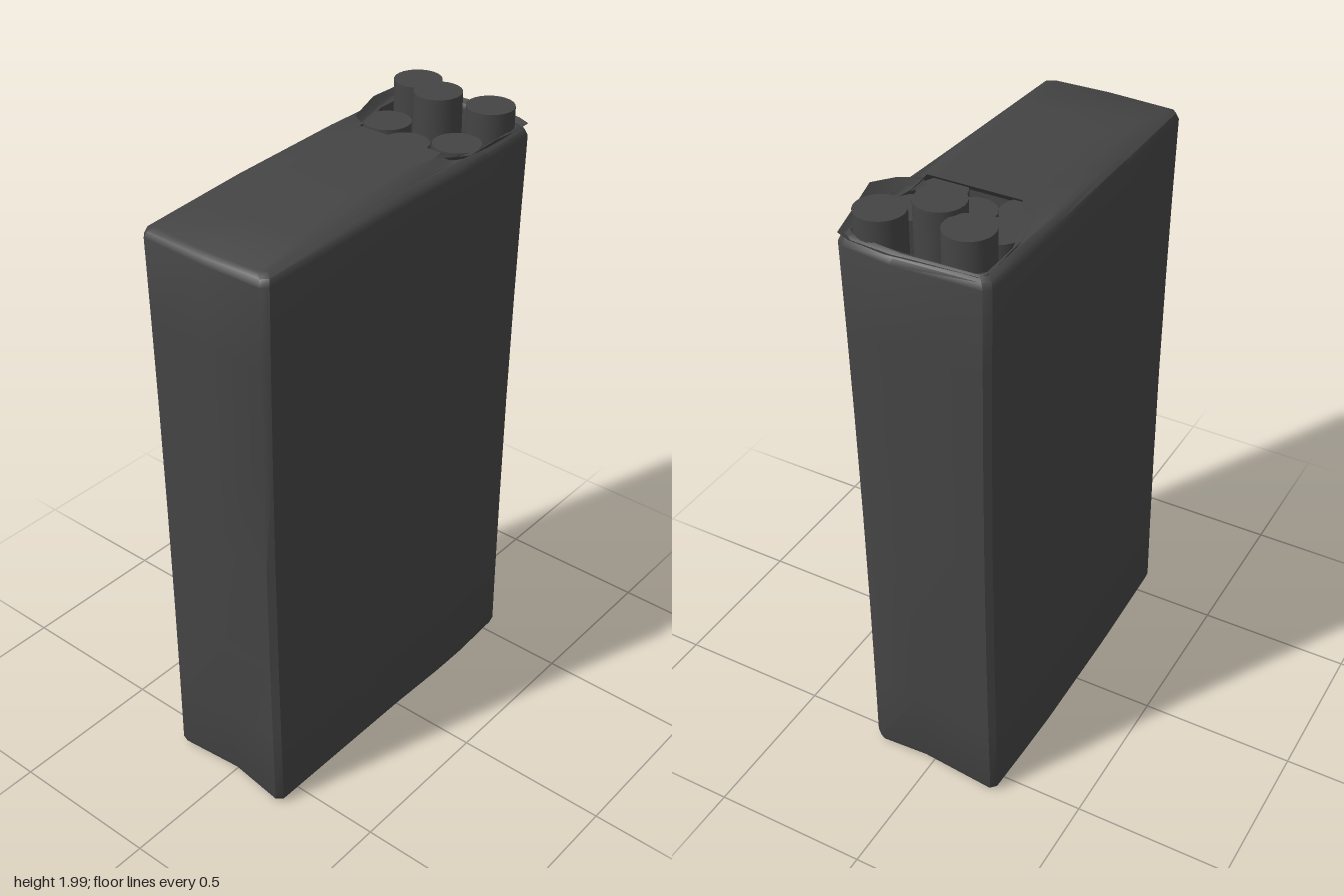
import * as THREE from 'three';
import { toCreasedNormals } from 'three/addons/utils/BufferGeometryUtils.js';

// Matched outline pairs: carton x, z -> torn opening x, z
const OUTLINE = [
  [-0.6, 0, 0.21, 0], [-0.595, 0.2, 0.21, 0.08], [-0.578, 0.22, 0.21, 0.13],
  [0, 0.225, 0.21, 0.16], [0.22, 0.232, 0.26, 0.18], [0.35, 0.232, 0.35, 0.195],
  [0.555, 0.222, 0.525, 0.19], [0.573, 0.2, 0.548, 0.175], [0.595, 0.04, 0.552, 0.04],
  [0.588, -0.23, 0.552, -0.19], [0.57, -0.248, 0.53, -0.21], [0.4, -0.252, 0.4, -0.21],
  [0.22, -0.255, 0.28, -0.175], [-0.2, -0.25, 0.21, -0.135],
  [-0.568, -0.238, 0.21, -0.1], [-0.588, -0.22, 0.21, -0.06],
];

// Skin closed rings of [x, y, z] points, each ring following the last
function skin(rings, closed = true) {
  const n = rings[0].length, index = [];
  for (let k = 0; k < rings.length - 1; k++) {
    for (let i = 0; i < (closed ? n : n - 1); i++) {
      const j = (i + 1) % n, a = k * n + i, b = k * n + j;
      index.push(a, b, b + n, a, b + n, a + n);
    }
  }
  const g = new THREE.BufferGeometry();
  g.setAttribute('position', new THREE.Float32BufferAttribute(rings.flat(2), 3));
  g.setIndex(index);
  return toCreasedNormals(g, 0.7);
}

export function createModel() {
  const group = new THREE.Group();
  const material = new THREE.MeshStandardMaterial({ color: 0x444444, side: THREE.DoubleSide });
  const add = (geometry, name) => {
    const mesh = new THREE.Mesh(geometry, material);
    mesh.name = name;
    group.add(mesh);
    return mesh;
  };

  // Edge height: the carton's top climbs gently and flattens toward the opening
  const edgeY = (x) => 1.905 - 0.03 * Math.pow((0.6 - x) / 1.2, 2);

  // Slightly waisted wall outline at height fraction t, drawn in by inset
  const wall = (t, inset, y) => OUTLINE.map(([x, z]) => {
    const waist = 1 - 0.05 * Math.sin(Math.PI * t) * (1 - Math.abs(x) * 0.5) - 0.03 * (1 - t);
    let px = x > 0.5 ? x - 0.014 * (1 - t) : x;
    if (Math.abs(z) < 0.1 && t < 0.3) px -= Math.sign(x) * 0.03 * (1 - t / 0.3); // pinched ends
    return [px - Math.sign(px) * Math.min(inset, Math.abs(px)), y(px), z * waist - Math.sign(z) * inset];
  });

  // Carton: base, walls, softened edges, top, then down into the opening
  const rings = [];
  rings.push(OUTLINE.map(() => [0, 0.012, 0]));
  rings.push(wall(0, 0.024, () => 0.006));
  rings.push(wall(0, 0.007, () => 0.013));
  rings.push(wall(0, 0, () => 0.035));
  for (const t of [0.15, 0.3, 0.5, 0.7, 0.85]) rings.push(wall(t, 0, (x) => edgeY(x) * t));
  rings.push(wall(1, 0, (x) => edgeY(x) - 0.025));
  rings.push(wall(1, 0.007, (x) => edgeY(x) - 0.006));
  const shoulder = wall(1, 0.024, (x) => edgeY(x) + 0.004);
  rings.push(shoulder);
  for (const t of [0.25, 0.5, 0.75, 1]) {
    rings.push(shoulder.map(([x, y, z], i) => {
      const [, , ix, iz] = OUTLINE[i];
      const px = x + (ix - x) * t;
      const rim = ix < 0.22 ? 1.927 : 1.9;
      const rise = Math.sin(t * Math.PI / 2);
      return [px, y + (rim - y) * rise, z + (iz - z) * t];
    }));
  }
  // Inner lining widens behind the lid, so the sticks run on beneath it
  const lining = (y) => OUTLINE.map(([, , x, z]) => [x < 0.3 ? x - 0.12 : x, y, z * (x < 0.3 ? 1.2 : 1)]);
  rings.push(lining(1.84), lining(1.2), OUTLINE.map(() => [0.36, 1.2, 0]));
  add(skin(rings), 'carton');

  // Torn paper lip curling outward round the opening: base x, z, tip x, y, z
  const LIP = [
    [0.21, 0.16, 0.21, 1.915, 0.175], [0.26, 0.18, 0.255, 1.922, 0.23],
    [0.35, 0.195, 0.35, 1.945, 0.253], [0.45, 0.192, 0.46, 1.925, 0.235],
    [0.525, 0.19, 0.565, 1.912, 0.215], [0.548, 0.175, 0.585, 1.912, 0.17],
    [0.552, 0.04, 0.6, 1.912, 0.05], [0.552, -0.19, 0.588, 1.918, -0.22],
    [0.53, -0.21, 0.57, 1.925, -0.24], [0.4, -0.21, 0.4, 1.93, -0.237],
    [0.28, -0.175, 0.27, 1.92, -0.2],
  ];
  add(skin([
    LIP.map(([x, z]) => [x, 1.895, z]),
    LIP.map(([x, z, tx, ty, tz]) => [x + (tx - x) * 0.45, 1.895 + (ty - 1.895) * 0.3, z + (tz - z) * 0.45]),
    LIP.map(([, , x, y, z]) => [x, y, z]),
  ], false), 'tornLip');

  // Packed sticks: x, z, top height
  const STICKS = [
    [0.42, -0.01, 2], [0.487, -0.135, 1.985], [0.49, 0.13, 1.97],
    [0.34, -0.135, 1.9], [0.265, -0.01, 1.89], [0.34, 0.122, 1.9],
    [0.195, -0.135, 1.885], [0.195, 0.122, 1.885],
  ];
  for (const [x, z, top] of STICKS) {
    const height = top - 1.2;
    add(new THREE.CylinderGeometry(0.073, 0.073, height, 24), 'stick').position.set(x, top - height / 2, z);
  }
  return group;
}
